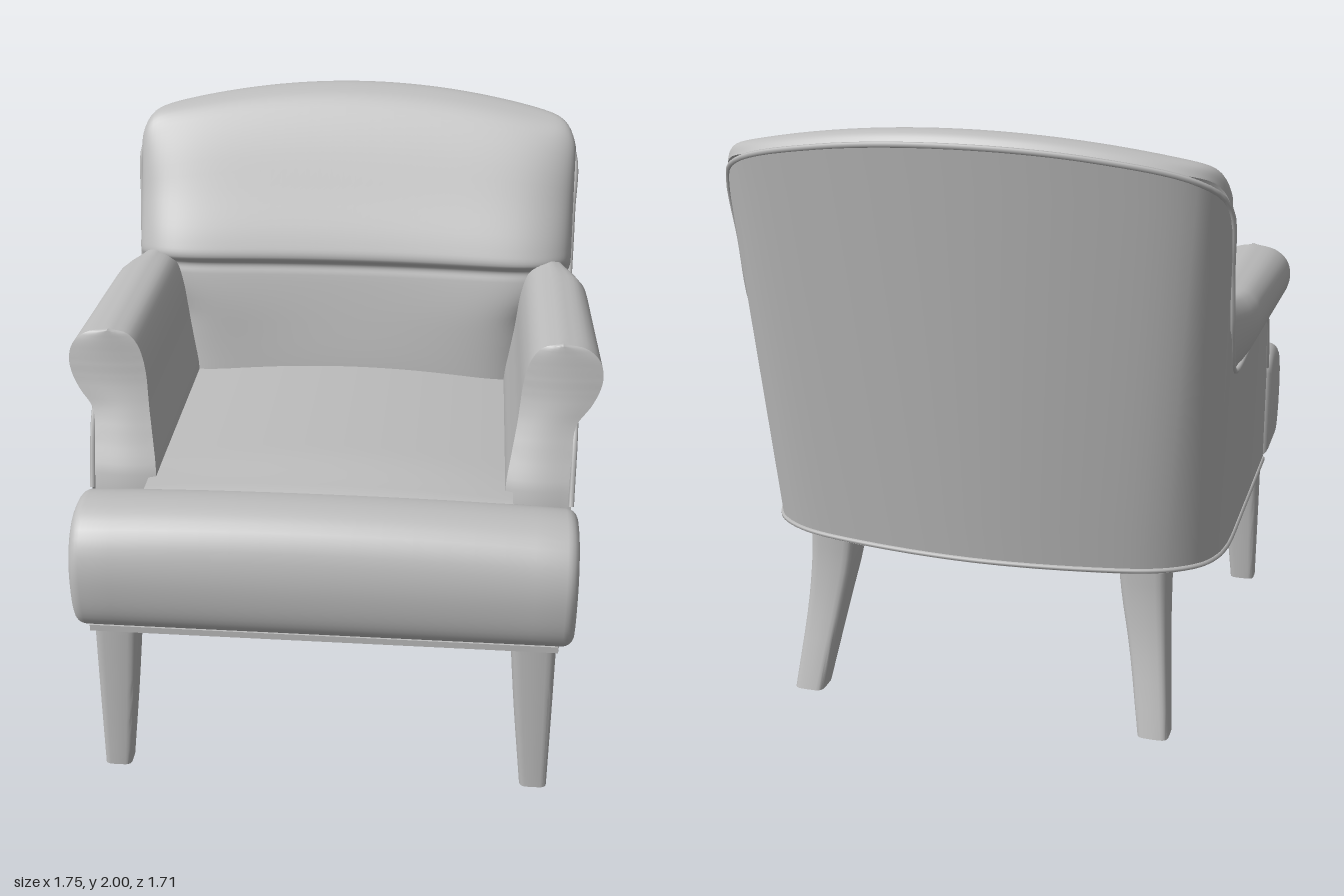
import * as THREE from 'three';
import { toCreasedNormals } from 'three/addons/utils/BufferGeometryUtils.js';

const upholstery = new THREE.MeshStandardMaterial({ color: 0xbcbcbc, side: THREE.DoubleSide });
upholstery.name = 'plain grey';

const V = (x, y, z) => new THREE.Vector3(x, y, z);
const smooth = THREE.MathUtils.smoothstep;
const lerp = THREE.MathUtils.lerp;
const spline = points => new THREE.CatmullRomCurve3(points, false, 'centripetal');

// Surface swept from a rule f(u, v) -> [x, y, z]
function surface(f, nu, nv) {
  const pos = [], idx = [];
  for (let j = 0; j <= nv; j++) for (let i = 0; i <= nu; i++) pos.push(...f(i / nu, j / nv));
  for (let j = 0; j < nv; j++) for (let i = 0; i < nu; i++) {
    const a = j * (nu + 1) + i, b = a + nu + 1;
    idx.push(a, a + 1, b, b, a + 1, b + 1);
  }
  const g = new THREE.BufferGeometry();
  g.setAttribute('position', new THREE.Float32BufferAttribute(pos, 3));
  g.setIndex(idx);
  g.computeVertexNormals();
  return g;
}

// Move every vertex by a rule, then rebuild the normals
function reshape(g, rule) {
  const p = g.attributes.position, v = V(0, 0, 0);
  for (let i = 0; i < p.count; i++) {
    v.fromBufferAttribute(p, i);
    rule(v);
    p.setXYZ(i, v.x, v.y, v.z);
  }
  return toCreasedNormals(g, .7);
}

function add(parent, name, geometry) {
  const m = new THREE.Mesh(geometry, upholstery);
  m.name = name;
  parent.add(m);
  return m;
}

// Lower and upper edges of the outer shell, from left front to the middle of the back
const halfBottom = [[.79, .53], [.79, .4], [.79, 0], [.788, -.3], [.782, -.36], [.77, -.42], [.73, -.5],
  [.62, -.58], [.4, -.635], [0, -.67]].map(([x, z]) => V(x, .58, z));
const halfTop = [[.79, .95, .52], [.795, 1.19, .385], [.8, 1.21, 0], [.8, 1.22, -.42], [.805, 1.36, -.525],
  [.805, 1.58, -.58], [.8, 1.785, -.645], [.72, 1.87, -.745], [.42, 1.935, -.82], [0, 1.96, -.85]].map(a => V(...a));
const wholeCurve = half => spline([...half, ...half.slice(0, -1).reverse().map(p => V(-p.x, p.y, p.z))]);

// Back cushion: centre profile as (y, z), rolled over the top with a crease above the lumbar part
const backProfile = spline([[1.96, -.85], [1.992, -.82], [2, -.77], [1.97, -.7], [1.87, -.615],
  [1.65, -.485], [1.5, -.4], [1.445, -.38], [1.41, -.4], [1.375, -.39], [1.2, -.355], [1, -.325], [.8, -.32]]
  .map(([y, z]) => V(0, y, z)));

function backPoint(u, v) {
  const s = Math.sin((u - .5) * Math.PI), a = Math.abs(s);
  const p = backProfile.getPoint(v);
  const topY = 2 - .1 * a ** 2 - .09 * a ** 36;
  const y = p.y > 1.41 ? 1.41 + (p.y - 1.41) * (topY - 1.41) / .59 : p.y;
  const rear = h => -.85 + .13 * (1.96 - h);
  const wrap = .1 * a ** 2 + (.14 - .05 * smooth(y, 1.3, 1.8)) * a ** 14;
  const depth = p.z - rear(p.y);
  const forward = .05 * smooth(y, 1, 1.35) * a * a;
  const thin = Math.max(.15, 1 - (wrap - forward) / Math.max(depth, .3));
  const end = Math.cbrt(Math.max(0, 1 - a ** 9));
  const halfWidth = .68 + .125 * smooth(y, 1.2, 1.42);
  return [halfWidth * s, y, rear(y) + wrap + depth * thin * end];
}

// Arm section as (inner x, y, outer x), scrolling outward at the top
const armSection = spline([[.58, .62, .775], [.575, 1, .78], [.59, 1.1, .785], [.605, 1.19, .795], [.612, 1.25, .84],
  [.617, 1.3, .866], [.626, 1.35, .875], [.643, 1.4, .862], [.675, 1.438, .82], [.74, 1.455, .741]].map(a => V(...a)));

// Front edge of the arm as (y, z), sweeping forward toward the seat
const armFront = spline([[.6, .53], [.95, .525], [1.03, .495], [1.18, .42], [1.28, .385], [1.48, .352]]
  .map(([y, z]) => V(0, y, z))).getPoints(200);
const armFrontZ = y => armFront.find(p => p.y >= y).z;

function armBodyPoint(u, v) {
  const p = armSection.getPoint(1 - Math.abs(2 * u - 1));
  let x = u < .5 ? p.x : p.z;
  const z = lerp(-.48, armFrontZ(p.y), v);
  if (x > .79) x -= (x - .79) * .3 * (1 - v);
  if (x > .7) x -= (x - .7) * .5 * smooth(-z, .25, .48);
  return [x, p.y, z];
}

function armFacePoint(u, v) {
  const p = armSection.getPoint(v);
  return [lerp(p.x, p.z, u), p.y, armFrontZ(p.y) + .012 * Math.sin(u * Math.PI)];
}

// Front roll of the T-shaped seat
function frontRollGeometry() {
  const s = new THREE.Shape();
  s.moveTo(.575, .625);
  s.lineTo(.575, .91);
  s.bezierCurveTo(.58, .95, .64, .955, .68, .952);
  s.bezierCurveTo(.77, .945, .815, .87, .815, .78);
  s.bezierCurveTo(.815, .7, .8, .63, .765, .625);
  s.lineTo(.575, .625);
  const g = new THREE.ExtrudeGeometry(s, { depth: 1.54, steps: 16, curveSegments: 10,
    bevelThickness: .038, bevelSize: .04, bevelSegments: 5 });
  return reshape(g, v => {
    const x = v.z - .77, z = v.x;
    if (v.y > .8) v.y += .022 * (1 - (x / .81) ** 2) * smooth(v.y, .8, .95);
    v.set(x, v.y, z);
  });
}

// Leg lofted through rings of [y, x, z, width, depth], closed at the foot
function legGeometry(rings) {
  const curve = k => new THREE.CatmullRomCurve3(rings.map(r => V(r[0], r[k], r[k + 1])));
  const centre = curve(1), size = curve(3), n = 10;
  const g = surface((u, v) => {
    const row = Math.min(Math.round(v * (n + 1)), n), t = row / n;
    const c = centre.getPoint(t), d = size.getPoint(t);
    const a = u * Math.PI * 2, r = v > .999 ? 0 : .5;
    const soft = w => Math.sign(w) * Math.abs(w) ** .45;
    return [c.y + r * d.y * soft(Math.cos(a)), c.x, c.z + r * d.z * soft(Math.sin(a))];
  }, 24, n + 1);
  return toCreasedNormals(g, .7);
}

export function createModel() {
  const chair = new THREE.Group();
  chair.name = 'armchair';

  // Outer shell and its piping
  const bottom = wholeCurve(halfBottom), top = wholeCurve(halfTop);
  add(chair, 'outerShell', surface((u, v) =>
    bottom.getPoint(u).lerp(top.getPoint(u), v).toArray(), 108, 10));
  add(chair, 'shellPiping', new THREE.TubeGeometry(top, 140, .009, 6));
  add(chair, 'basePiping', new THREE.TubeGeometry(bottom, 120, .009, 6));

  // Underside panel
  const plan = new THREE.Shape(bottom.getPoints(72).map(p => new THREE.Vector2(p.x, p.z)));
  plan.lineTo(-.76, .8);
  plan.lineTo(.76, .8);
  const base = add(chair, 'underside', new THREE.ExtrudeGeometry(plan, { depth: .022, bevelEnabled: false }));
  base.rotation.x = Math.PI / 2;
  base.position.y = .592;

  // Back and seat cushions
  add(chair, 'backCushion', surface(backPoint, 56, 60));
  add(chair, 'frontRoll', frontRollGeometry());
  const seat = new THREE.BoxGeometry(1.2, .38, 1.04, 20, 2, 26);
  seat.translate(0, .79, .16);
  add(chair, 'seatCushion', reshape(seat, v => {
    if (v.y > .9) {
      const crown = 1 - (v.x / .62) ** 2;
      v.y = .99 + crown * lerp(.047, .022, smooth(v.z, .35, .64)) - .03 * smooth(v.z, .6, .68);
    }
  }));

  // Arms and legs, mirrored
  const armBody = surface(armBodyPoint, 72, 16);
  const armFace = surface(armFacePoint, 8, 36);
  const frontLeg = legGeometry([[.58, .683, .705, .15, .135], [.3, .695, .715, .125, .11], [0, .71, .723, .092, .088]]);
  const backLeg = legGeometry([[.58, .54, -.455, .17, .18], [.45, .55, -.472, .155, .155],
    [.28, .572, -.508, .13, .13], [0, .61, -.59, .105, .11]]);
  for (const side of [1, -1]) {
    const half = new THREE.Group();
    half.name = side > 0 ? 'leftSide' : 'rightSide';
    half.scale.x = side;
    add(half, 'arm', armBody);
    add(half, 'armFront', armFace);
    add(half, 'frontLeg', frontLeg);
    add(half, 'backLeg', backLeg);
    chair.add(half);
  }
  return chair;
}
